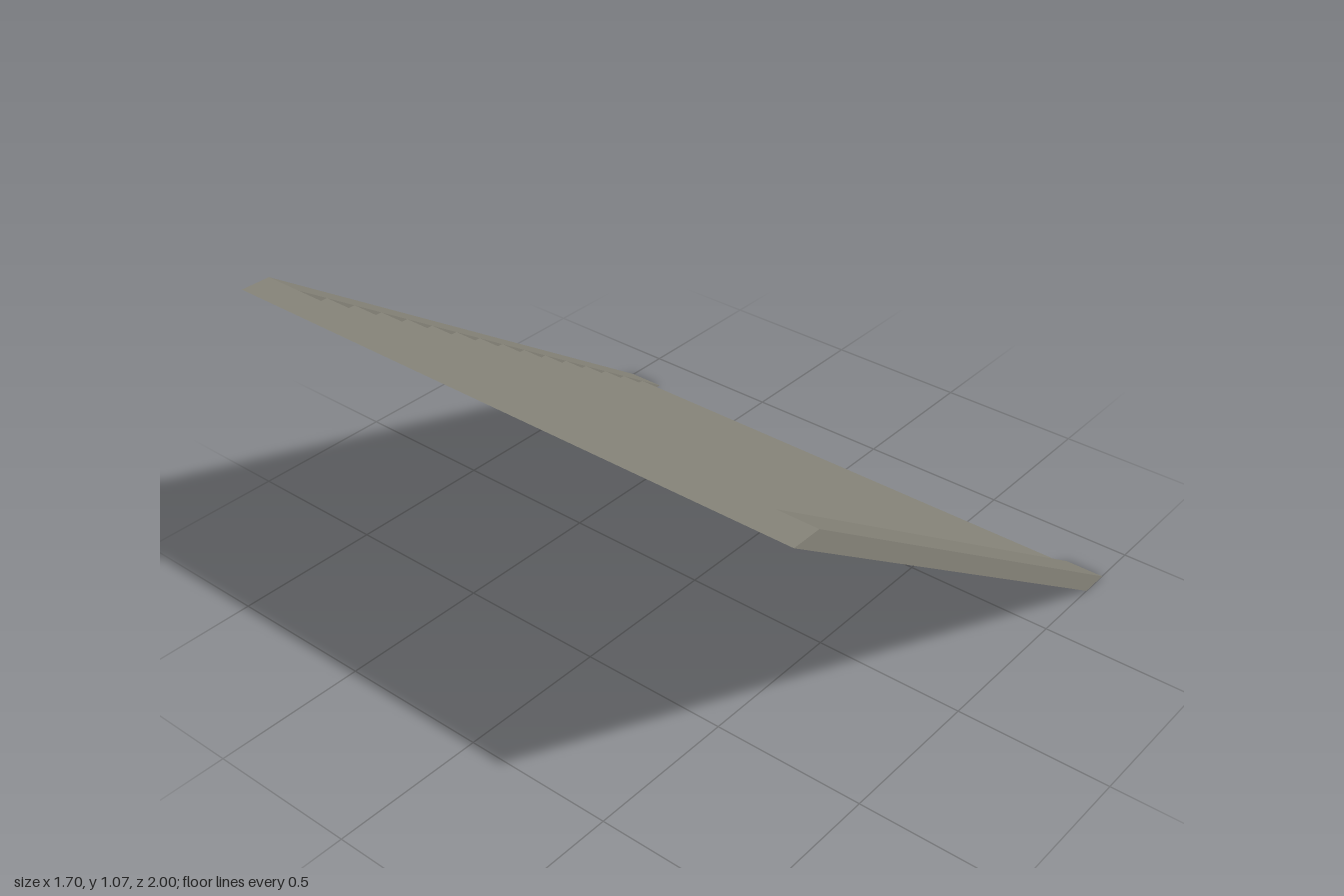
import * as THREE from 'three';

const STEPS = 16, RUN = 0.1, RISE = 1.067 / STEPS;
const TOP = STEPS * RISE, INNER = 0.87, OUTER = 1;

// Open sheet: an x/y profile swept along z, with flat facets
function sheet(profile, z0, z1) {
  const pos = [];
  for (let i = 0; i < profile.length - 1; i++) {
    const [ax, ay] = profile[i], [bx, by] = profile[i + 1];
    pos.push(ax, ay, z0, bx, by, z0, bx, by, z1);
    pos.push(ax, ay, z0, bx, by, z1, ax, ay, z1);
  }
  const geo = new THREE.BufferGeometry();
  geo.setAttribute('position', new THREE.Float32BufferAttribute(pos, 3));
  geo.computeVertexNormals();
  return geo;
}

export function createModel() {
  const group = new THREE.Group();
  const stone = new THREE.MeshStandardMaterial({ color: 0x87857a, side: THREE.DoubleSide });
  stone.name = 'warm grey';

  const add = (name, geo) => {
    const mesh = new THREE.Mesh(geo, stone);
    mesh.name = name;
    group.add(mesh);
    return mesh;
  };

  // Folded flight of risers and treads
  const zigzag = [[0.75, 0]];
  for (let k = 0; k < STEPS; k++) {
    const x = 0.75 - k * RUN, y = (k + 1) * RISE;
    zigzag.push([x, y]);
    if (k < STEPS - 1) zigzag.push([x - RUN, y]);
  }
  add('steps', sheet(zigzag, -INNER, INNER));

  // Top landing across the full width
  add('landing', sheet([[-0.75, TOP], [-0.85, TOP]], -OUTER, OUTER));

  // Each stringer is a sloping cap with one side plate below it
  const side = new THREE.Shape([[0.75, 0], [0.85, 0], [-0.75, TOP], [-0.85, TOP]]
    .map(([x, y]) => new THREE.Vector2(x, y)));
  for (const [name, z0, z1] of [['left', -OUTER, -INNER], ['right', INNER, OUTER]]) {
    const label = name === 'left' ? 'backStringer' : 'frontStringer';
    add(label + 'Cap', sheet([[0.85, 0], [-0.75, TOP]], z0, z1));
    add(label + 'Plate', new THREE.ShapeGeometry(side)).position.z = z1;
  }
  return group;
}
